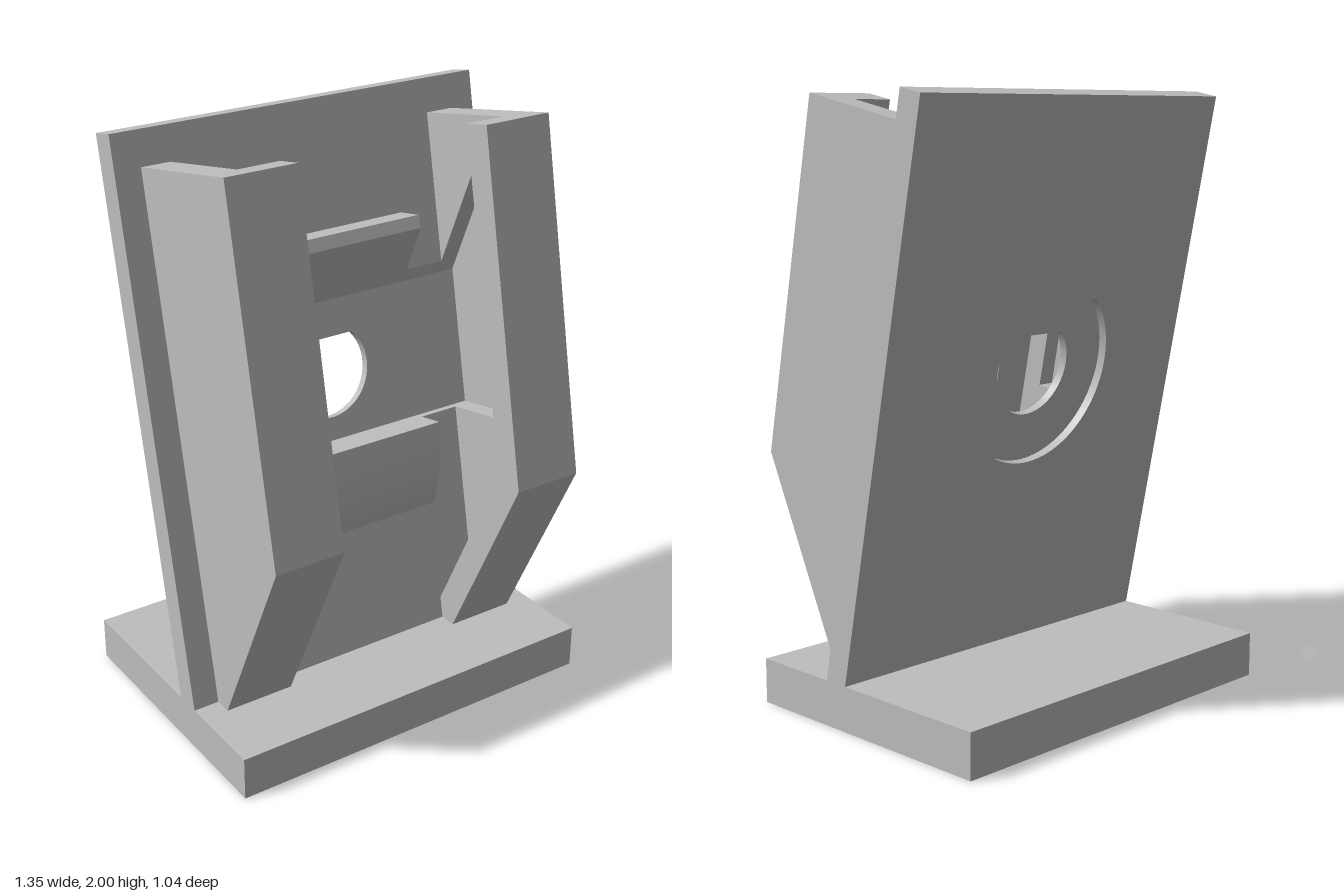
import * as THREE from 'three';
import { toCreasedNormals } from 'three/addons/utils/BufferGeometryUtils.js';

const TILT = 0.2;                              // backward lean of the holder
const HALF = 0.675, TOP = 1.889, FOOT = -0.03; // back plate extents along its slope
const FLOOR = -0.03, REAR = -0.058, BACK = -0.088; // depths through the plate
const SLOT_LOW = 0.75, SLOT_HIGH = 1.27, SLOPE = 1.44, SLOT_X = 0.55;

export function createModel() {
  const grey = new THREE.MeshStandardMaterial({ color: 0xbebebe });
  grey.name = 'light grey';
  const model = new THREE.Group();
  model.name = 'dockingStand';

  const add = (parent, name, geometry) => {
    const mesh = new THREE.Mesh(toCreasedNormals(geometry, 0.5), grey);
    mesh.name = name;
    parent.add(mesh);
    return mesh;
  };

  // Extrudes a [depth, height] profile sideways from x0 to x1
  const sideways = (points, x0, x1) => {
    const shape = new THREE.Shape(points.map(([n, u]) => new THREE.Vector2(n, u)));
    return new THREE.ExtrudeGeometry(shape, { depth: x1 - x0, bevelEnabled: false })
      .rotateY(-Math.PI / 2).translate(x1, 0, 0);
  };

  // Teardrop: a circle with a 45 degree pointed top
  const drop = (r) => {
    const path = new THREE.Path();
    const cy = 0.99;
    path.moveTo(0, cy + r * Math.SQRT2);
    path.absarc(0, cy, r, Math.PI * 0.75, Math.PI * 2.25, false);
    path.closePath();
    return path;
  };

  // Plate layer with a teardrop opening
  const layer = (r, n0, n1) => {
    const shape = new THREE.Shape([
      new THREE.Vector2(-HALF, FOOT), new THREE.Vector2(HALF, FOOT),
      new THREE.Vector2(HALF, TOP), new THREE.Vector2(-HALF, TOP),
    ]);
    shape.holes.push(drop(r));
    return new THREE.ExtrudeGeometry(shape, { depth: n1 - n0, bevelEnabled: false, curveSegments: 48 })
      .translate(0, 0, n0);
  };

  // Base slab
  add(model, 'base', new THREE.BoxGeometry(HALF * 2, 0.15, 0.97)).position.set(0, 0.075, -0.03);

  // Everything above the base leans back together
  const holder = new THREE.Group();
  holder.name = 'holder';
  holder.position.set(0, 0.15, 0.14);
  holder.rotation.x = -TILT;
  model.add(holder);

  // Back plate: wide rear teardrop recess, through hole, and front slot
  add(holder, 'backPlateRear', layer(0.32, BACK, REAR));
  add(holder, 'backPlateMiddle', layer(0.16, REAR, FLOOR));
  add(holder, 'backPlateLowerFront',
    sideways([[FLOOR, FOOT], [0, FOOT], [0, SLOT_LOW], [FLOOR, SLOT_LOW]], -HALF, HALF));
  const slotTopInner = SLOT_HIGH + SLOPE * FLOOR;
  add(holder, 'backPlateUpperFront',
    sideways([[FLOOR, slotTopInner], [0, SLOT_HIGH], [0, TOP], [FLOOR, TOP]], -HALF, HALF));

  // Upper hook with a sloped underside
  add(holder, 'upperHook', sideways(
    [[0, SLOT_HIGH], [0.105, SLOT_HIGH + SLOPE * 0.105], [0.1, 1.465], [0, 1.465]], -0.34, 0.34));

  // Lower shelf with a rounded front
  const curve = new THREE.SplineCurve([
    [0.02, 0.44], [0.045, 0.49], [0.07, 0.55], [0.086, 0.62], [0.097, 0.69], [0.1, SLOT_LOW],
  ].map(([n, u]) => new THREE.Vector2(n, u)));
  const front = curve.getPoints(20).map((p) => [p.x, p.y]);
  add(holder, 'lowerShelf', sideways([[0, 0.437], ...front, [0, SLOT_LOW]], -0.34, 0.34));

  // Side brackets: outer skin, pocketed inner wall and front lip
  const outline = [[0, -0.01], [0.059, -0.012], [0.507, 0.586], [0.507, 1.775], [0, 1.775]];
  const pocket = [[0, SLOT_HIGH], [0.33, SLOT_HIGH + SLOPE * 0.33], [0.33, SLOT_LOW], [0, SLOT_LOW]];
  const lip = [...outline.slice(0, 4), [0.407, 1.775], [0.407, 0.62], [0, 0.076]];
  for (const side of [-1, 1]) {
    const bracket = new THREE.Group();
    bracket.name = side > 0 ? 'leftBracket' : 'rightBracket';
    holder.add(bracket);
    const span = (points, a, b) => (side > 0 ? sideways(points, a, b) : sideways(points, -b, -a));
    add(bracket, 'outerWall', span(outline, SLOT_X, 0.585));
    add(bracket, 'innerWall', span([...outline, ...pocket], 0.485, SLOT_X));
    add(bracket, 'frontLip', span(lip, 0.34, 0.485));
    // Plate edge beside the slot
    add(bracket, 'slotSide', span(
      [[FLOOR, SLOT_LOW], [0, SLOT_LOW], [0, SLOT_HIGH], [FLOOR, slotTopInner]], SLOT_X, HALF));
  }
  return model;
}
